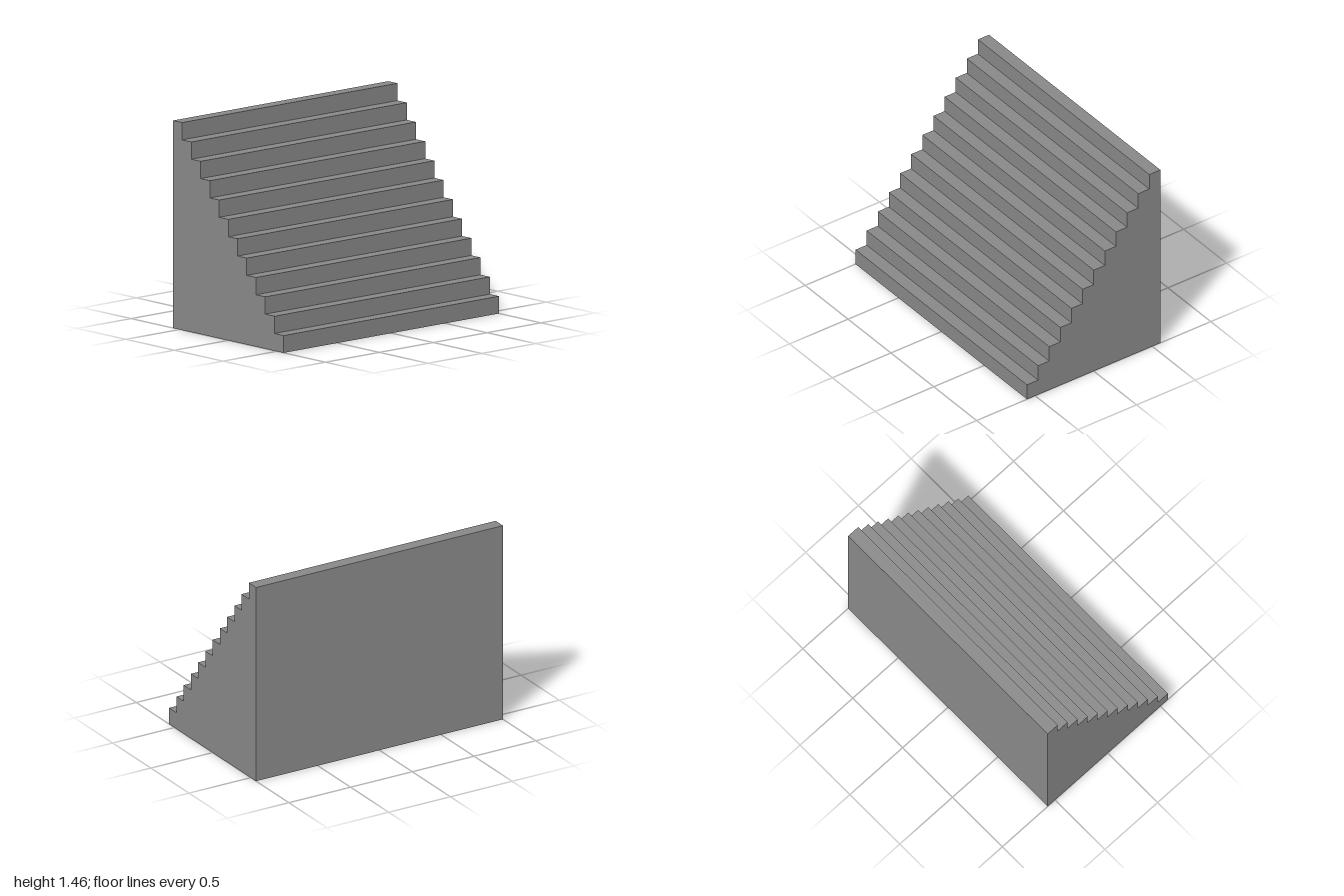
import * as THREE from 'three';

const STEPS = 12;
const WIDTH = 2;
const RISE = 1.46 / STEPS;
const DEPTH = 1.14;
const TREAD = DEPTH / STEPS;

// Hollow box standing on y = 0, open underneath
function openBox(width, height, depth) {
  const geometry = new THREE.BoxGeometry(width, height, depth);
  const index = Array.from(geometry.index.array);
  index.splice(18, 6); // drop the bottom face
  geometry.setIndex(index);
  geometry.clearGroups();
  geometry.translate(0, height / 2, 0);
  return geometry;
}

export function createModel() {
  const group = new THREE.Group();
  group.name = 'staircase';
  const stone = new THREE.MeshStandardMaterial({ color: 0x888888, side: THREE.DoubleSide });
  stone.name = 'grey stone';

  // Steps rise from the front (+z) to the back (-z), each reaching the ground
  for (let i = 0; i < STEPS; i++) {
    const step = new THREE.Mesh(openBox(WIDTH, RISE * (i + 1), TREAD), stone);
    step.name = `step${i + 1}`;
    step.position.z = DEPTH / 2 - TREAD * (i + 0.5);
    group.add(step);
  }
  return group;
}
